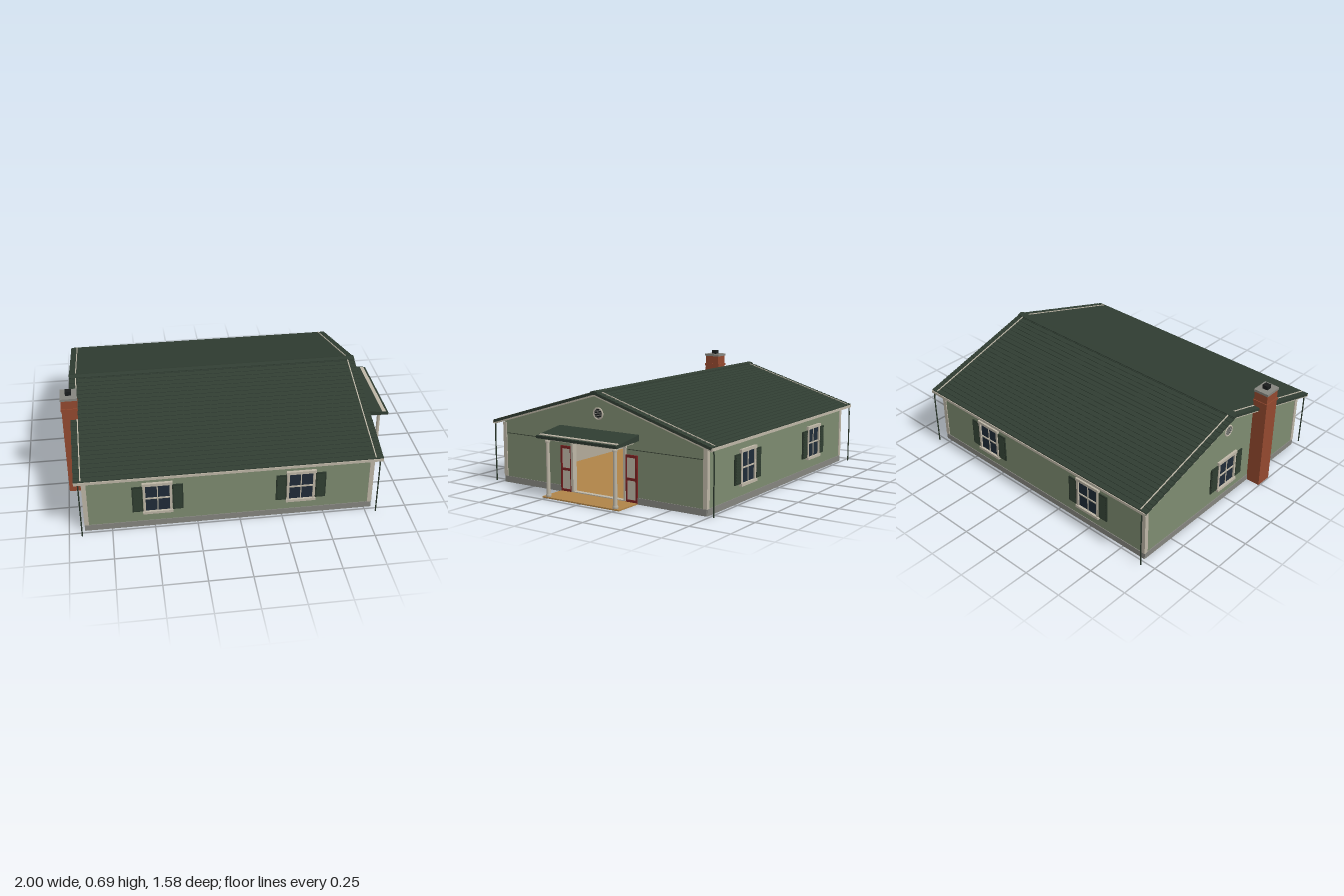
import * as THREE from 'three';

const mat = (color, side = THREE.FrontSide) => new THREE.MeshStandardMaterial({ color, side, roughness: 0.9 });
const M = {
  wall: mat(0x7d8b70), roof: mat(0x303d32), trim: mat(0xbdb6a6), stone: mat(0x85857f),
  brick: mat(0x94492f), red: mat(0x7a2020), glass: mat(0x1f2b38), shutter: mat(0x2b382c),
  wood: mat(0xb08448), soil: mat(0x412d1e), black: mat(0x1b1e1e), lining: mat(0xb3aa9a), seam: mat(0x3b4436),
};
const SLOPE = 0.3, X0 = -0.905, X1 = 0.79, ZW = 0.73, XC = (X0 + X1) / 2;

function add(parent, name, geo, material, x = 0, y = 0, z = 0) {
  const mesh = new THREE.Mesh(geo, material);
  mesh.name = name;
  mesh.position.set(x, y, z);
  parent.add(mesh);
  return mesh;
}

// Box given by its minimum and maximum along each axis
function box(parent, name, material, x0, x1, y0, y1, z0, z1) {
  return add(parent, name, new THREE.BoxGeometry(x1 - x0, y1 - y0, z1 - z0), material,
    (x0 + x1) / 2, (y0 + y1) / 2, (z0 + z1) / 2);
}

// Profile in the (z, y) plane, symmetric in z, extruded along x
function alongX(parent, name, material, points, x0, x1, hole) {
  const shape = new THREE.Shape(points.map(p => new THREE.Vector2(p[0], p[1])));
  if (hole) shape.holes.push(new THREE.Path(hole.map(p => new THREE.Vector2(p[0], p[1]))));
  const geo = new THREE.ExtrudeGeometry(shape, { depth: x1 - x0, bevelEnabled: false });
  geo.rotateY(Math.PI / 2);
  return add(parent, name, geo, material, x0);
}

// Inverted V following the roof pitch
function chevron(parent, name, material, top, half, thick, x0, x1) {
  const low = top - SLOPE * half;
  return alongX(parent, name, material, [[-half, low - thick], [0, top - thick], [half, low - thick],
    [half, low], [0, top], [-half, low]], x0, x1);
}

// Shingled roof: saw-tooth courses over a flat underside
function roof(parent) {
  const n = 26, half = 0.78, side = [];
  for (let i = 0; i < n; i++) {
    const a = half * i / n, b = half * (i + 1) / n;
    side.push([a, 0.619 - SLOPE * a], [b, 0.622 - SLOPE * b]);
  }
  const mirrored = side.slice(1).reverse().map(([z, y]) => [-z, y]);
  const under = [[-half, 0.604 - SLOPE * half], [0, 0.604], [half, 0.604 - SLOPE * half]];
  alongX(parent, 'shingleRoof', M.roof, [...under, ...[...mirrored, ...side].reverse()], -0.95, 0.83);
  chevron(parent, 'ridgeCap', M.roof, 0.626, 0.025, 0.006, -0.95, 0.83);
  for (const x of [-0.91, 0.786]) chevron(parent, 'rakeStrip', M.trim, 0.6245, 0.775, 0.01, x - 0.003, x + 0.003);
  for (const x of [-0.945, 0.819]) chevron(parent, 'rakeBoard', M.trim, 0.606, 0.775, 0.012, x, x + 0.006);
  // Gutters and downspouts
  for (const s of [-1, 1]) {
    add(parent, 'gutter', new THREE.BoxGeometry(1.78, 0.016, 0.014), M.trim, -0.06, 0.374, s * 0.778);
    for (const x of [-0.925, 0.81]) {
      const path = new THREE.CatmullRomCurve3([[0.765, 0.378], [0.78, 0.365], [0.783, 0.34], [0.783, 0.005]]
        .map(([z, y]) => new THREE.Vector3(x, y, s * z)));
      add(parent, 'downspout', new THREE.TubeGeometry(path, 20, 0.004, 8), M.shutter);
    }
  }
}

function shell(parent) {
  box(parent, 'underside', M.soil, X0 + 0.02, X1 - 0.02, 0, 0.005, -ZW + 0.02, ZW - 0.02);
  box(parent, 'interiorFloor', M.wood, X0 + 0.02, X1 - 0.005, 0.005, 0.01, -ZW + 0.02, ZW - 0.02);
  box(parent, 'ceiling', M.lining, X0 + 0.02, X1 - 0.02, 0.36, 0.365, -ZW + 0.02, ZW - 0.02);
  for (const s of [-1, 1]) {
    add(parent, 'sideWall', new THREE.BoxGeometry(X1 - X0, 0.375, 0.02), M.wall, XC, 0.195, s * (ZW - 0.012));
    add(parent, 'sideLining', new THREE.BoxGeometry(X1 - X0 - 0.04, 0.35, 0.004), M.lining, XC, 0.185, s * (ZW - 0.025));
    add(parent, 'sideFoundation', new THREE.BoxGeometry(X1 - X0 + 0.004, 0.038, 0.02), M.stone, XC, 0.019, s * (ZW - 0.008));
  }
  // Gable walls, the porch end with a doorway
  const z = ZW - 0.003, gable = [[-z, 0.01], [z, 0.01], [z, 0.603 - SLOPE * z], [0, 0.603], [-z, 0.603 - SLOPE * z]];
  const door = [[-0.185, 0.011], [-0.185, 0.32], [0.185, 0.32], [0.185, 0.011]];
  alongX(parent, 'porchGable', M.wall, gable, X1 - 0.02, X1, door);
  alongX(parent, 'chimneyGable', M.wall, gable, X0, X0 + 0.02);
  box(parent, 'farLining', M.lining, X0 + 0.02, X0 + 0.024, 0.01, 0.36, -0.7, 0.7);
  box(parent, 'chimneyEndFoundation', M.stone, X0 - 0.004, X0 + 0.02, 0, 0.038, -ZW, ZW);
  for (const s of [-1, 1]) {
    add(parent, 'porchEndFoundation', new THREE.BoxGeometry(0.02, 0.038, ZW - 0.2), M.stone, X1 - 0.006, 0.019, s * (ZW + 0.2) / 2);
    add(parent, 'wallSeam', new THREE.BoxGeometry(0.003, 0.004, 0.5), M.seam, X1, 0.308, s * 0.455);
    for (const x of [X0 + 0.008, X1 - 0.008])
      add(parent, 'cornerBoard', new THREE.BoxGeometry(0.026, 0.335, 0.026), M.trim, x, 0.206, s * (ZW - 0.01));
  }
}

// Shuttered window facing +z
function windowUnit(parent, x, z, turn) {
  const g = new THREE.Group();
  g.name = 'window';
  g.position.set(x, 0.2, z);
  g.rotation.y = turn;
  parent.add(g);
  box(g, 'glass', M.glass, -0.078, 0.078, -0.092, 0.095, -0.004, 0.003);
  for (const s of [-1, 1]) {
    add(g, 'jamb', new THREE.BoxGeometry(0.014, 0.19, 0.016), M.trim, s * 0.077, 0.003, 0.004);
    const sx = s * 0.117;
    add(g, 'shutter', new THREE.BoxGeometry(0.062, 0.174, 0.008), M.shutter, sx, -0.002, 0.004);
    for (let i = 0; i < 10; i++) {
      const slat = add(g, 'shutterSlat', new THREE.BoxGeometry(0.046, 0.013, 0.003), M.shutter, sx, -0.074 + i * 0.016, 0.009);
      slat.rotation.x = -0.35;
    }
  }
  box(g, 'head', M.trim, -0.088, 0.088, 0.09, 0.108, -0.004, 0.015);
  box(g, 'sill', M.trim, -0.088, 0.088, -0.104, -0.088, -0.004, 0.018);
  box(g, 'verticalMuntin', M.trim, -0.003, 0.003, -0.09, 0.09, 0, 0.007);
  box(g, 'meetingRail', M.trim, -0.072, 0.072, -0.004, 0.004, 0, 0.009);
}

// Round louvred vent in a gable
function vent(parent, x, turn) {
  const g = new THREE.Group();
  g.name = 'gableVent';
  g.position.set(x, 0.49, 0);
  g.rotation.y = turn;
  parent.add(g);
  add(g, 'ventRing', new THREE.TorusGeometry(0.032, 0.005, 10, 32), M.trim);
  add(g, 'ventBack', new THREE.CircleGeometry(0.031, 32), M.black, 0, 0, 0.001);
  for (let i = -2; i <= 2; i++) {
    const y = i * 0.01;
    add(g, 'louvre', new THREE.BoxGeometry(2 * Math.sqrt(0.00088 - y * y), 0.003, 0.005), M.stone, 0, y, 0.002);
  }
}

function doorway(parent) {
  const g = new THREE.Group();
  g.name = 'doorway';
  parent.add(g);
  box(g, 'doorHead', M.trim, X1 - 0.022, X1 + 0.012, 0.315, 0.336, -0.202, 0.202);
  box(g, 'threshold', M.trim, X1 - 0.02, X1 + 0.01, 0.006, 0.013, -0.185, 0.185);
  for (const s of [-1, 1]) {
    add(g, 'doorJamb', new THREE.BoxGeometry(0.034, 0.31, 0.016), M.trim, X1 - 0.005, 0.165, s * 0.19);
    // Red-framed leaf with two pale panels
    const c = s * 0.235;
    add(g, 'leafPanel', new THREE.BoxGeometry(0.006, 0.26, 0.07), M.trim, X1 + 0.003, 0.143, c);
    for (const e of [-1, 1])
      add(g, 'leafStile', new THREE.BoxGeometry(0.012, 0.272, 0.011), M.red, X1 + 0.005, 0.142, c + e * 0.035);
    for (const y of [0.014, 0.14, 0.271])
      add(g, 'leafRail', new THREE.BoxGeometry(0.012, 0.015, 0.08), M.red, X1 + 0.005, y, c);
  }
}

function porch(parent) {
  const g = new THREE.Group();
  g.name = 'porch';
  parent.add(g);
  box(g, 'porchFloor', M.wood, X1, 0.97, 0, 0.008, -0.275, 0.275);
  const profile = [[0, 0.004], [0.011, 0.008], [0.016, 0.008], [0.016, 0.022], [0.012, 0.027], [0.011, 0.17],
    [0.0105, 0.322], [0.015, 0.328], [0.015, 0.342], [0, 0.342]].map(p => new THREE.Vector2(...p));
  for (const s of [-1, 1]) {
    add(g, 'column', new THREE.LatheGeometry(profile, 20), M.trim, 0.953, 0, s * 0.24);
    add(g, 'sideBeam', new THREE.BoxGeometry(0.165, 0.018, 0.016), M.trim, 0.872, 0.351, s * 0.24);
  }
  box(g, 'frontBeam', M.trim, 0.943, 0.967, 0.341, 0.36, -0.25, 0.25);
  // Shallow lean-to roof
  const shape = new THREE.Shape([[X1, 0.363], [0.998, 0.352], [1, 0.368], [X1, 0.398]].map(p => new THREE.Vector2(...p)));
  const geo = new THREE.ExtrudeGeometry(shape, { depth: 0.57, bevelEnabled: false });
  add(g, 'porchRoof', geo, M.roof, 0, 0, -0.285);
  box(g, 'porchRoofStrip', M.trim, 0.962, 0.985, 0.36, 0.3745, -0.277, 0.277);
}

function chimney(parent) {
  const g = new THREE.Group();
  g.name = 'chimney';
  parent.add(g);
  const x = -0.951, z = 0.287;
  add(g, 'stack', new THREE.BoxGeometry(0.09, 0.65, 0.104), M.brick, x, 0.325, z);
  add(g, 'brickBand', new THREE.BoxGeometry(0.098, 0.016, 0.114), M.brick, x, 0.587, z);
  add(g, 'cap', new THREE.BoxGeometry(0.098, 0.015, 0.114), M.stone, x, 0.6575, z);
  add(g, 'flue', new THREE.BoxGeometry(0.036, 0.025, 0.036), M.black, x, 0.677, z);
}

export function createModel() {
  const house = new THREE.Group();
  house.name = 'house';
  shell(house);
  roof(house);
  for (const x of [-0.48, 0.36]) {
    windowUnit(house, x, ZW, 0);
    windowUnit(house, x, -ZW, Math.PI);
  }
  windowUnit(house, X0, 0, -Math.PI / 2);
  vent(house, X1, Math.PI / 2);
  vent(house, X0, -Math.PI / 2);
  doorway(house);
  porch(house);
  chimney(house);
  return house;
}
